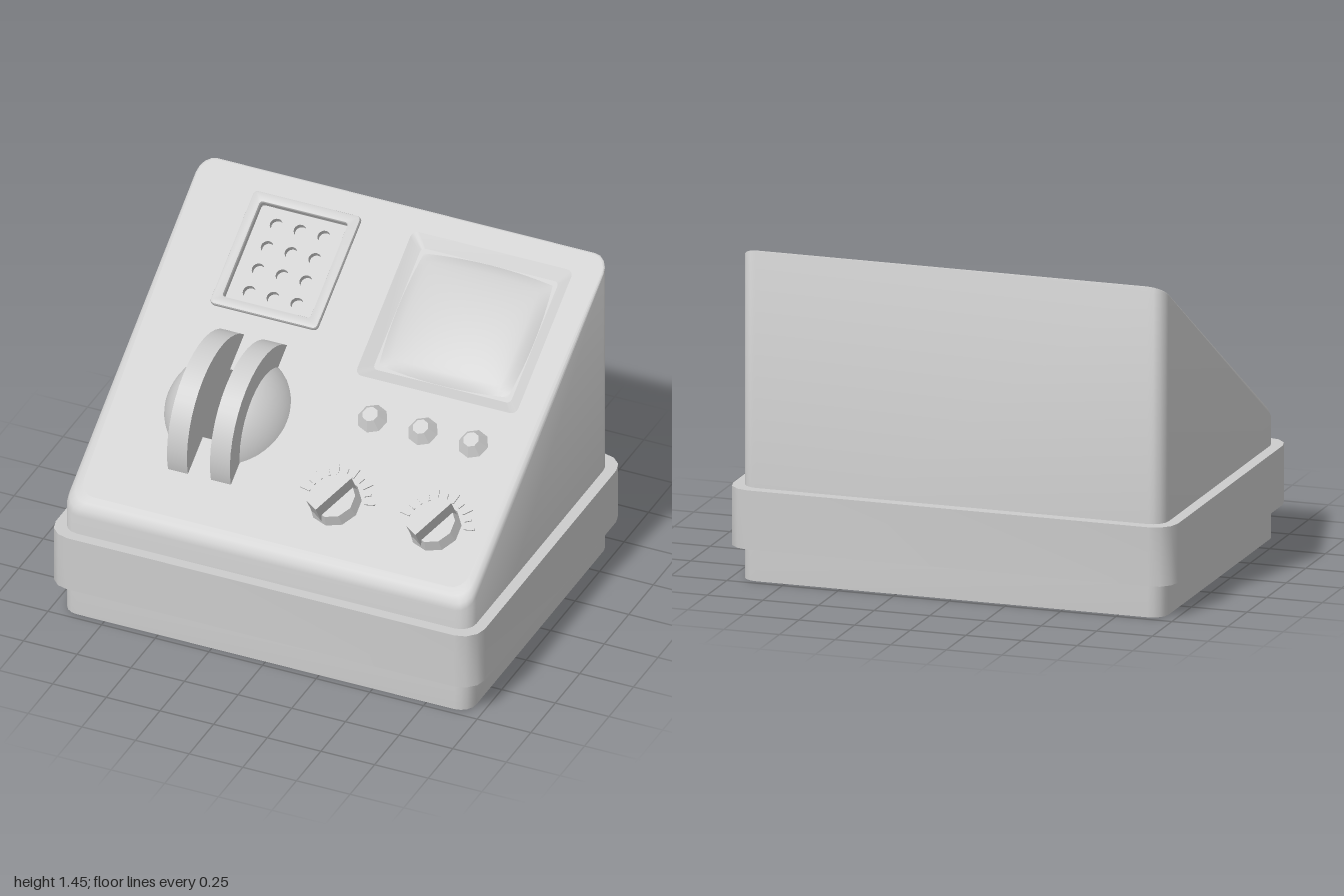
import * as THREE from 'three';
import { toCreasedNormals } from 'three/addons/utils/BufferGeometryUtils.js';

const grey = new THREE.MeshStandardMaterial({ color: 0xcccccc, side: THREE.DoubleSide });
grey.name = 'light grey';

// Sloped panel: height falls with z; its group has x across, y up the slope, z outward
const SLOPE = 0.635, TOP = 0.998;
const TILT = Math.atan(SLOPE), COS = Math.cos(TILT);
const planeY = z => TOP - SLOPE * z;

function add(parent, name, geometry, x = 0, y = 0, z = 0) {
  const mesh = new THREE.Mesh(geometry, grey);
  mesh.name = name;
  mesh.position.set(x, y, z);
  parent.add(mesh);
  return mesh;
}

// Counter-clockwise rounded rectangle outline
function outline(cx, cy, hx, hy, r, steps = 4) {
  const pts = [];
  for (let c = 0; c < 4; c++) {
    const sx = c === 0 || c === 3 ? 1 : -1, sy = c < 2 ? 1 : -1;
    for (let i = 0; i <= steps; i++) {
      const a = (c + i / steps) * Math.PI / 2;
      pts.push(new THREE.Vector2(cx + sx * (hx - r) + r * Math.cos(a), cy + sy * (hy - r) + r * Math.sin(a)));
    }
  }
  return pts;
}

// Skin joining closed rings of [x, y, z] points
function loft(rings, crease = 0.9) {
  const pos = [], idx = [], n = rings[0].length;
  rings.forEach(ring => ring.forEach(p => pos.push(...p)));
  for (let k = 0; k < rings.length - 1; k++) {
    for (let i = 0; i < n; i++) {
      const a = k * n + i, b = k * n + (i + 1) % n;
      idx.push(a, b, b + n, a, b + n, a + n);
    }
  }
  const g = new THREE.BufferGeometry();
  g.setAttribute('position', new THREE.Float32BufferAttribute(pos, 3));
  g.setIndex(idx);
  return toCreasedNormals(g, crease);
}

const lift = (pts, z) => pts.map(p => [p.x, p.y, z]);

// Flat plate with openings
function plate(pts, holes = []) {
  const shape = new THREE.Shape(pts);
  holes.forEach(h => shape.holes.push(new THREE.Path(h)));
  return new THREE.ShapeGeometry(shape);
}

// Recess: walls plus floor, from rim outline to floor outline
function recess(parent, name, rim, floor, depth, floorHoles = []) {
  add(parent, name + ' walls', loft([lift(rim, 0), lift(floor, -depth)], 0.7));
  add(parent, name + ' floor', plate(floor, floorHoles), 0, 0, -depth);
}

function circle(cx, cy, r, n) {
  return Array.from({ length: n }, (_, i) => {
    const a = i / n * Math.PI * 2;
    return new THREE.Vector2(cx + r * Math.cos(a), cy + r * Math.sin(a));
  });
}

export function createModel() {
  const model = new THREE.Group();
  model.name = 'control console';

  // Housing, with a softened edge that is widest at the front
  const base = outline(0, 0, 0.95, 0.72, 0.07);
  const edgeRing = (inset, drop) => base.map(p => {
    const f = THREE.MathUtils.lerp(1.6, 0.2, (p.y + 0.72) / 1.44);
    const x = p.x * (1 - inset * f / 0.95), z = -p.y * (1 - inset * f / 0.72);
    return [x, planeY(z) - drop * f, z];
  });
  const rim = edgeRing(0.034, 0);
  add(model, 'housing', loft([base.map(p => [p.x, 0, -p.y]),
    edgeRing(0, 0.025), edgeRing(0.005, 0.011), edgeRing(0.017, 0.003), rim]));
  add(model, 'underside', plate(base)).rotation.x = Math.PI / 2;

  // Bumper band around the base
  const band = new THREE.ExtrudeGeometry(new THREE.Shape(outline(0, 0, 1, 0.77, 0.1, 3)),
    { depth: 0.26, bevelEnabled: false });
  add(model, 'bumper band', toCreasedNormals(band, 0.7), 0, 0.15, 0).rotation.x = -Math.PI / 2;

  // Sloped control panel with three openings
  const panel = new THREE.Group();
  panel.name = 'control panel';
  panel.position.y = TOP;
  panel.rotation.x = TILT - Math.PI / 2;
  model.add(panel);
  const screenRim = outline(0.445, 0.397, 0.375, 0.35, 0.03);
  const grilleRim = outline(-0.413, 0.47, 0.203, 0.23, 0.012, 2);
  const slotRim = outline(-0.413, -0.235, 0.054, 0.165, 0.002, 1);
  add(panel, 'panel face', plate(rim.map(p => new THREE.Vector2(p[0], -p[2] / COS)),
    [screenRim, grilleRim, slotRim]));

  // Screen recess and domed screen
  recess(panel, 'screen recess', screenRim, outline(0.445, 0.397, 0.32, 0.295, 0.02), 0.03);
  const screen = new THREE.PlaneGeometry(2, 2, 24, 24);
  const sp = screen.attributes.position;
  for (let i = 0; i < sp.count; i++) {
    const u = sp.getX(i), v = sp.getY(i);
    const dome = Math.pow(Math.max(0, (1 - u * u) * (1 - v * v)), 0.6);
    sp.setXYZ(i, 0.3 * u * (1 + 0.06 * (1 - v * v)), 0.272 * v * (1 + 0.08 * (1 - u * u)), 0.055 * dome);
  }
  screen.computeVertexNormals();
  add(panel, 'screen', screen, 0.445, 0.397, -0.029);

  // Speaker frame and perforated grille
  const frame = new THREE.Shape(outline(-0.413, 0.47, 0.25, 0.275, 0.02));
  frame.holes.push(new THREE.Path(grilleRim));
  add(panel, 'speaker frame', toCreasedNormals(new THREE.ExtrudeGeometry(frame, {
    depth: 0.012, bevelThickness: 0.008, bevelSize: 0.008, bevelOffset: -0.008, bevelSegments: 2
  }), 0.7));
  const holes = [];
  for (let col = -1; col <= 1; col++) {
    for (let row = 0; row < 4; row++) holes.push(circle(-0.413 + col * 0.111, 0.3 + row * 0.109, 0.028, 16));
  }
  recess(panel, 'speaker grille', grilleRim, grilleRim, 0.015, holes);
  holes.forEach(h => {
    add(panel, 'grille hole wall', loft([lift(h, -0.015), lift(h, -0.04)]));
    add(panel, 'grille hole bottom', plate(h), 0, 0, -0.04);
  });

  // Slotted roller: two discs with a domed cap outside each
  recess(panel, 'roller slot', slotRim, slotRim, 0.13);
  for (const side of [-1, 1]) {
    const half = new THREE.Group();
    half.name = side < 0 ? 'right roller half' : 'left roller half';
    half.position.set(-0.413, -0.24, -0.117);
    half.rotation.z = -side * Math.PI / 2;
    panel.add(half);
    add(half, 'roller disc', new THREE.CylinderGeometry(0.36, 0.36, 0.093, 40), 0, 0.1, 0);
    add(half, 'roller cap', new THREE.SphereGeometry(0.3, 32, 8, 0, Math.PI * 2, 0, 1.1));
  }

  // Faceted indicator lamps
  for (const x of [0.22, 0.455, 0.69]) {
    const lamp = new THREE.CylinderGeometry(0.035, 0.068, 0.045, 8).toNonIndexed();
    lamp.computeVertexNormals();
    add(panel, 'indicator lamp', lamp, x, -0.13, 0.022).rotation.x = Math.PI / 2;
  }

  // Rotary knobs with a fan of tick marks
  for (const x of [0.205, 0.67]) {
    const knob = new THREE.Group();
    knob.name = 'rotary knob';
    knob.position.set(x, -0.54, 0);
    panel.add(knob);
    const dial = new THREE.CylinderGeometry(0.098, 0.115, 0.05, 10).toNonIndexed();
    dial.computeVertexNormals();
    add(knob, 'knob base', dial, 0, 0, 0.025).rotation.x = Math.PI / 2;
    add(knob, 'knob grip', new THREE.BoxGeometry(0.06, 0.205, 0.12), 0, 0, 0.06).rotation.z = -0.5;
    for (let i = 0; i <= 10; i++) {
      const a = THREE.MathUtils.degToRad(10 + i * 16), len = i % 2 ? 0.03 : 0.048, r = 0.128 + len / 2;
      add(knob, 'tick mark', new THREE.BoxGeometry(len, 0.008, 0.006),
        r * Math.cos(a), r * Math.sin(a), 0.003).rotation.z = a;
    }
  }
  return model;
}
